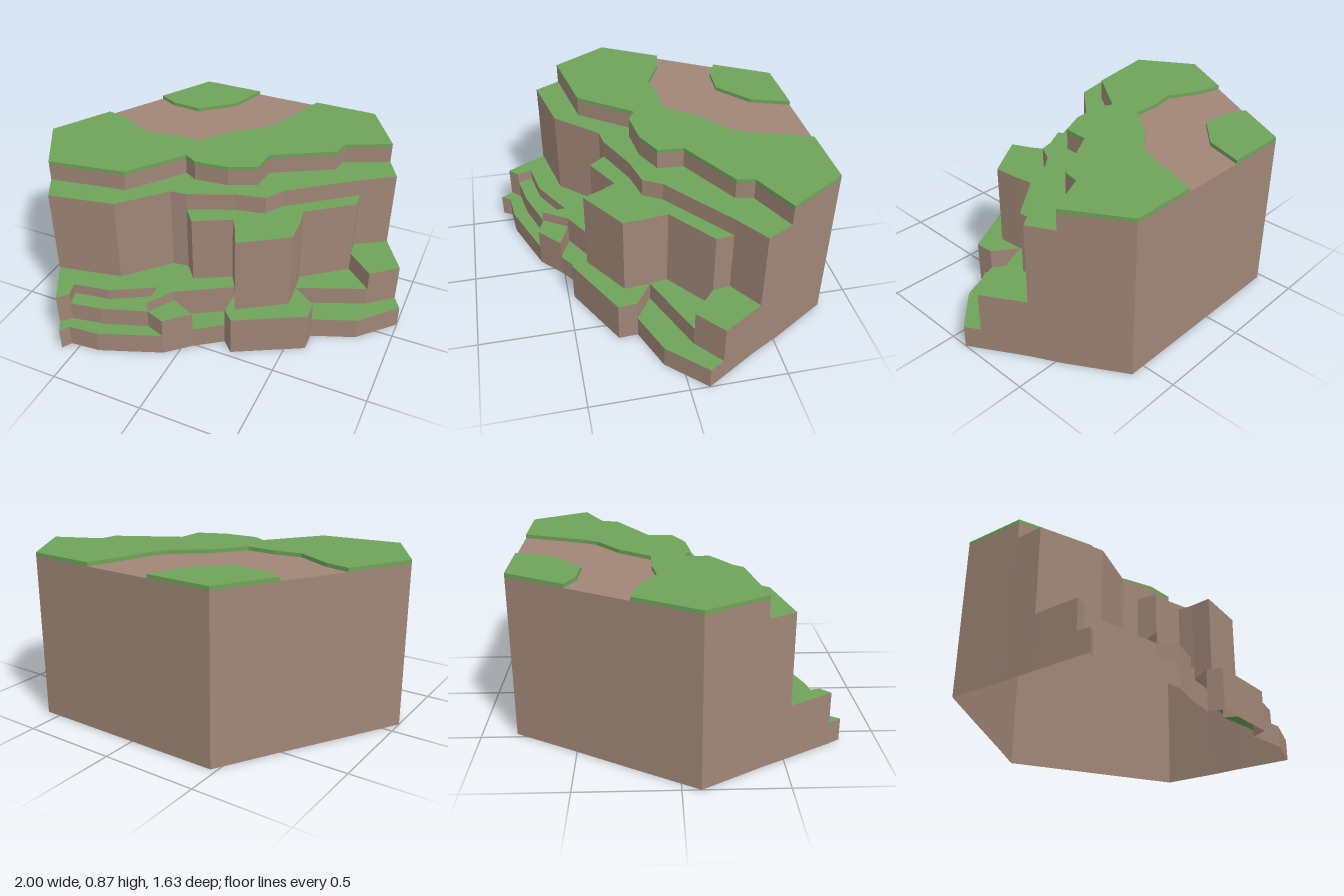
import * as THREE from 'three';

const LIP = 0.845; // underside of the turf on the plateau, also the path level

const grass = new THREE.MeshStandardMaterial({ color: 0x6fa35a, side: THREE.DoubleSide, flatShading: true });
const earth = new THREE.MeshStandardMaterial({ color: 0xa08677, side: THREE.DoubleSide, flatShading: true });

const rev = (line) => [...line].reverse();
const edgeKey = (a, b) => [a.join(), b.join()].sort().join('|');

// Corners of the hexagonal tile and the places where terraces meet its sides
const backL = [-0.47, -0.82], backR = [0.58, -0.82], sideL = [-1, 0.09];
const sideR = [1, -0.1], frontL = [-0.58, 0.81];
const rimL = [-0.82, 0.39], rimR = [0.76, -0.52];
const cliffL = [-0.745, 0.525], cliffR = [0.83, -0.385];
const ledgeL = [-0.62, 0.745], ledgeR = [0.955, -0.175];

// Path edges
const pathFar = [[-0.64, -0.525], [-0.535, -0.475], [-0.37, -0.465], [-0.2, -0.615], [-0.13, -0.82]];
const pathNear = [[0.23, -0.82], [0.11, -0.485], [0.07, -0.415], [-0.09, -0.29], [-0.215, -0.125],
  [-0.37, -0.125], [-0.51, -0.1], [-0.695, -0.195], [-0.82, -0.22]];

// Plateau rim and upper cliff, from left to right
const rim = [rimL, [-0.41, 0.32], [-0.2, 0.04], [-0.13, 0.08], [0.05, 0.06], [0.19, -0.005],
  [0.2, -0.14], [0.51, -0.32], [0.53, -0.41], rimR];
const spurL = [-0.11, 0.225], spurR = [0.67, -0.275];
const cliffWest = [cliffL, [-0.4, 0.455], [-0.195, 0.235], spurL];
const cliffMid = [spurL, [0.12, 0.125], [0.275, 0.09], [0.33, -0.005], spurR];

// Outline of the rocky spur
const spurFoot = [0.19, 0.285], nook = [0.465, 0.09], spurEnd = [0.68, -0.185];
const spurWest = [spurL, [-0.04, 0.31], [0.145, 0.21], spurFoot];
const spurFront = [spurFoot, [0.235, 0.385], [0.475, 0.225], nook];
const spurEast = [nook, [0.45, -0.005], spurEnd];

// Low steps at the foot of the cliff
const stepL = [-0.57, 0.695], stepR = [-0.17, 0.585], knobBack = [-0.085, 0.45];
const knobR = [0.05, 0.51], knobFront = [-0.07, 0.62];
const stepBack = [stepL, [-0.595, 0.615], [-0.4, 0.58], [-0.18, 0.455], stepR];
const stepFront = [stepL, [-0.4, 0.665], stepR];
const blockL = [0.19, 0.41], blockR = [0.595, 0.18], shelfTip = [0.82, -0.06];

// Flat areas that tile the hexagon, each with its height
const terraces = [
  { name: 'plateau', y: 0.865, pts: [...rev(pathNear), backR, ...rev(rim), sideL] },
  { name: 'backCorner', y: 0.865, pts: [backL, ...pathFar] },
  { name: 'path', y: LIP, top: earth, pts: [...pathFar, ...pathNear] },
  { name: 'upperLedge', y: 0.755, pts: [...rim, cliffR, ...rev(cliffMid), ...rev(cliffWest).slice(1)] },
  { name: 'spur', y: 0.66, pts: [...spurWest, ...spurFront.slice(1), ...spurEast.slice(1), ...rev(cliffMid).slice(0, -1)] },
  { name: 'rightShelf', y: 0.33, pts: [spurEnd, shelfTip, ledgeR, cliffR, spurR] },
  { name: 'leftShelf', y: 0.285, pts: [ledgeL, ...cliffWest, ...spurWest.slice(1), knobBack, ...rev(stepBack)] },
  { name: 'leftStep', y: 0.225, pts: [...stepBack, ...rev(stepFront).slice(1, -1)] },
  { name: 'knob', y: 0.225, pts: [stepR, knobBack, knobR, knobFront] },
  { name: 'frontBlock', y: 0.225, pts: [...spurFront, blockR, [0.6, 0.28], [0.25, 0.47], blockL] },
  { name: 'rightNook', y: 0.225, pts: [...spurEast, shelfTip] },
  { name: 'leftFoot', y: 0.12, pts: [frontL, ledgeL, ...stepFront, knobFront, [-0.39, 0.745], [-0.55, 0.76]] },
  { name: 'middleFoot', y: 0.12, pts: [knobBack, knobR, blockL, spurFoot] },
  { name: 'rightFoot', y: 0.12, pts: [nook, blockR, [0.82, 0.09], sideR, ledgeR, shelfTip] },
];

function addMesh(parent, name, positions, material) {
  if (!positions.length) return;
  const geo = new THREE.BufferGeometry();
  geo.setAttribute('position', new THREE.Float32BufferAttribute(positions, 3));
  geo.computeVertexNormals();
  const mesh = new THREE.Mesh(geo, material);
  mesh.name = name;
  parent.add(mesh);
}

// Vertical quad below the edge a-b, facing outwards from its terrace
function addWall(out, a, b, low, high) {
  if (high - low < 1e-4) return;
  const [p, q, r, s] = [[a, low], [b, low], [b, high], [a, high]].map(([v, y]) => [v[0], y, v[1]]);
  out.push(...p, ...q, ...r, ...p, ...r, ...s);
}

export function createModel() {
  const model = new THREE.Group();
  model.name = 'cliffTile';

  // Counter-clockwise from above, and a list of the terraces at each edge
  const edges = new Map();
  for (const t of terraces) {
    t.loop = t.pts.map(([x, z]) => new THREE.Vector2(x, -z));
    t.ring = t.pts;
    if (THREE.ShapeUtils.isClockWise(t.loop)) {
      t.loop.reverse();
      t.ring = rev(t.pts);
    }
    t.ring.forEach((a, i) => {
      const key = edgeKey(a, t.ring[(i + 1) % t.ring.length]);
      edges.set(key, [...(edges.get(key) || []), t]);
    });
  }

  for (const t of terraces) {
    const group = new THREE.Group();
    group.name = t.name;
    model.add(group);

    // Flat top
    const flat = THREE.ShapeUtils.triangulateShape(t.loop, [])
      .flatMap((tri) => tri.flatMap((i) => [t.ring[i][0], t.y, t.ring[i][1]]));
    addMesh(group, 'top', flat, t.top || grass);

    // Walls down to the lower neighbour, or to the ground at the outside
    const rock = [], turf = [];
    t.ring.forEach((a, i) => {
      const b = t.ring[(i + 1) % t.ring.length];
      const other = edges.get(edgeKey(a, b)).find((n) => n !== t);
      const low = other ? other.y : 0;
      if (low >= t.y) return;
      addWall(rock, a, b, low, Math.min(t.y, LIP));
      addWall(turf, a, b, Math.max(low, LIP), t.y);
    });
    addMesh(group, 'rockWall', rock, earth);
    addMesh(group, 'turfEdge', turf, grass);
  }
  return model;
}
